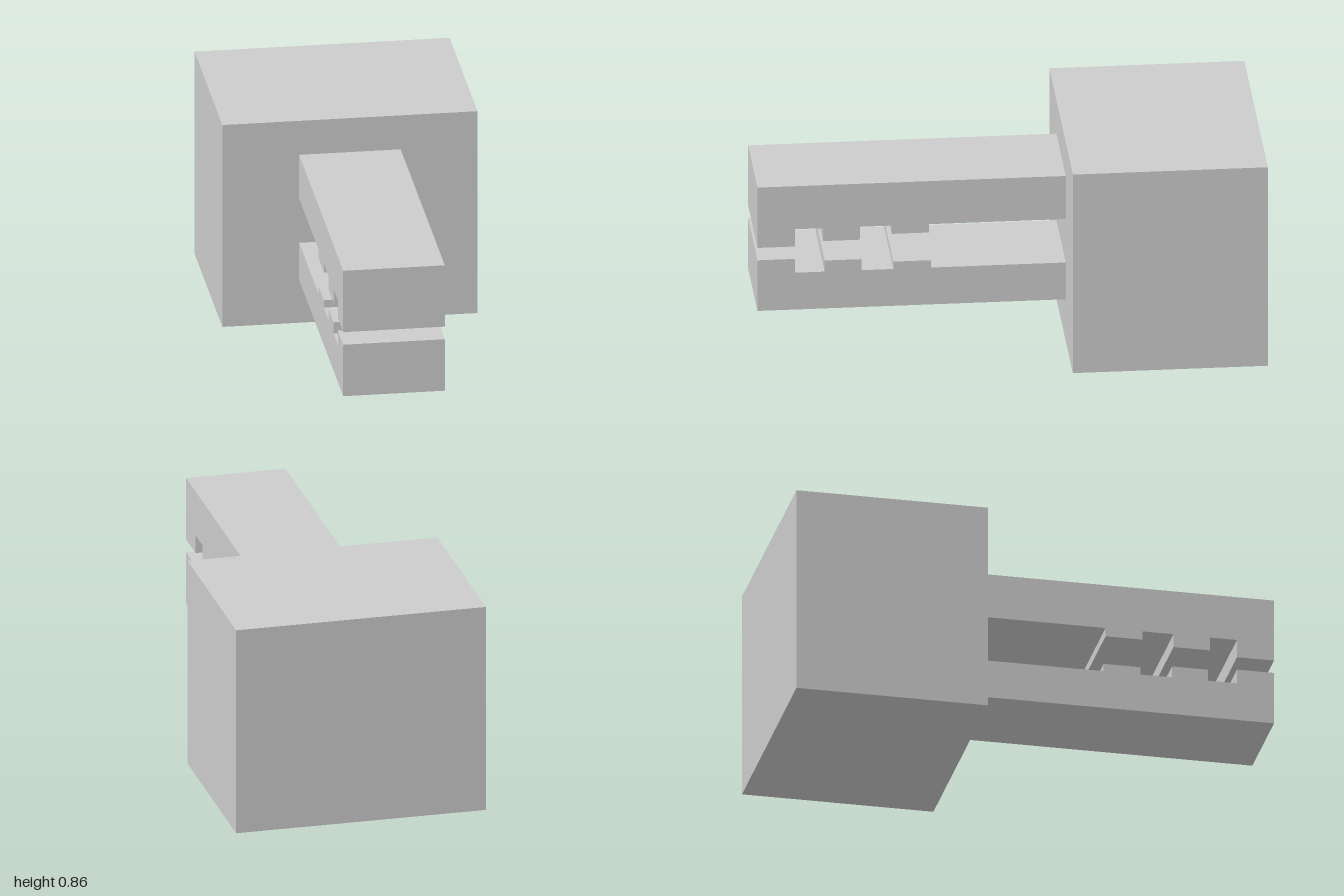
import * as THREE from 'three';

const material = new THREE.MeshStandardMaterial({ color: 0xcccccc, flatShading: true });
const JAW_WIDTH = 0.406;
const JAW_BACK = -0.225;

// Jaw: side profile (z, y) with square teeth, extruded across x.
// Each tooth is [front z, back z, tip y], listed from the front.
function makeJaw(name, outerY, innerY, teeth) {
  const shape = new THREE.Shape();
  shape.moveTo(JAW_BACK, outerY);
  shape.lineTo(1, outerY);
  teeth.forEach(([front, back, tip], i) => {
    if (i > 0) shape.lineTo(front, innerY);
    shape.lineTo(front, tip);
    shape.lineTo(back, tip);
    shape.lineTo(back, innerY);
  });
  shape.lineTo(JAW_BACK, innerY);
  shape.closePath();

  const geometry = new THREE.ExtrudeGeometry(shape, { depth: JAW_WIDTH, bevelEnabled: false });
  geometry.translate(0, 0, -JAW_WIDTH / 2);
  geometry.rotateY(-Math.PI / 2); // profile x becomes z
  const mesh = new THREE.Mesh(geometry, material);
  mesh.name = name;
  return mesh;
}

export function createModel() {
  const group = new THREE.Group();
  group.name = 'toothedClamp';

  // Solid block at the back
  const block = new THREE.Mesh(new THREE.BoxGeometry(1.02, 0.863, 0.775), material);
  block.name = 'block';
  block.position.set(0, 0.4315, -0.6125);
  group.add(block);

  // Facing jaws, teeth shrinking toward the block
  group.add(
    makeJaw('upperJaw', 0.718, 0.531, [
      [1, 0.85, 0.456],
      [0.74, 0.593, 0.475],
      [0.467, 0.318, 0.495],
    ]),
    makeJaw('lowerJaw', 0.182, 0.342, [
      [1, 0.85, 0.402],
      [0.733, 0.587, 0.39],
      [0.46, 0.31, 0.374],
    ])
  );
  return group;
}
